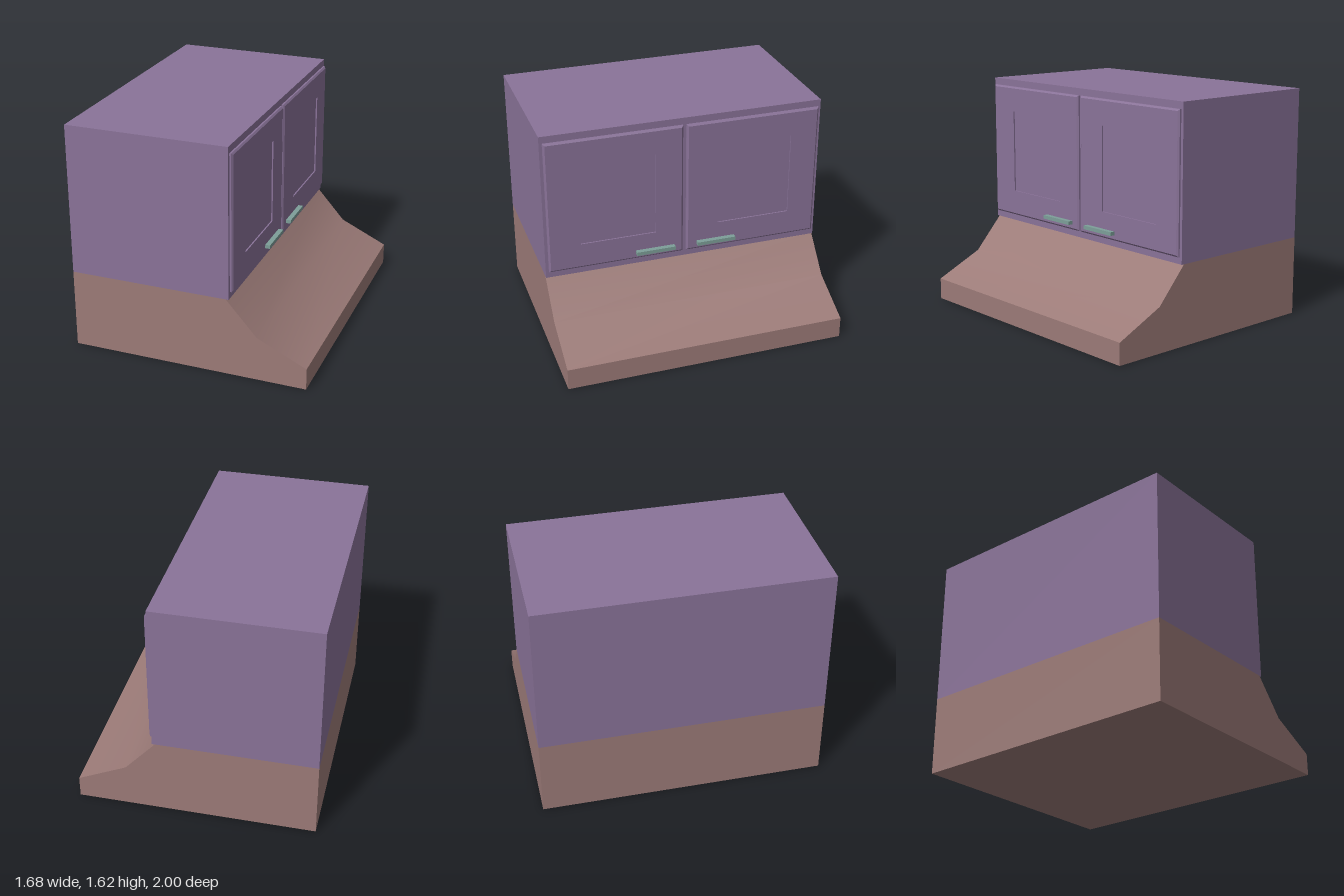
import * as THREE from 'three';
import { toCreasedNormals } from 'three/addons/utils/BufferGeometryUtils.js';

const purple = new THREE.MeshStandardMaterial({ color: 0x8a7399, flatShading: true });
const brown = new THREE.MeshStandardMaterial({ color: 0x9c7b78 });
const green = new THREE.MeshStandardMaterial({ color: 0x7d9f99, flatShading: true });

// Skins a stack of rectangles [u0, u1, v0, v1, w] and caps both ends; front faces +z.
function rectLoft(loops) {
  const pos = [], index = [];
  for (const [u0, u1, v0, v1, w] of loops) {
    pos.push(u0, v0, w, u1, v0, w, u1, v1, w, u0, v1, w);
  }
  for (let i = 0; i < loops.length - 1; i++) {
    for (let j = 0; j < 4; j++) {
      const a = i * 4 + j, b = i * 4 + (j + 1) % 4;
      index.push(a, b, b + 4, a, b + 4, a + 4);
    }
  }
  const e = (loops.length - 1) * 4;
  index.push(0, 2, 1, 0, 3, 2, e, e + 1, e + 2, e, e + 2, e + 3);
  const g = new THREE.BufferGeometry();
  g.setAttribute('position', new THREE.Float32BufferAttribute(pos, 3));
  g.setIndex(index);
  const flat = g.toNonIndexed();
  flat.computeVertexNormals();
  return flat;
}

function add(parent, name, geometry, material) {
  const mesh = new THREE.Mesh(geometry, material);
  mesh.name = name;
  parent.add(mesh);
  return mesh;
}

// Chamfered door with a shallow sunken panel; u runs towards -z
function doorGeometry() {
  const w = 0.4835, y0 = 0.608, y1 = 1.575, c = 0.012;
  const panel = [-0.254, 0.282, 0.793, 1.392];
  return rectLoft([
    [-w, w, y0, y1, 0],
    [-w, w, y0, y1, 0.012],
    [-w + c, w - c, y0 + c, y1 - c, 0.022],
    [...panel, 0.022],
    [...panel, 0.012],
  ]).rotateY(Math.PI / 2);
}

// Finger pull, hollow from below
function handleGeometry() {
  const u = 0.0185, v = 0.141, t = 0.006;
  return rectLoft([
    [-u, u, -v, v, 0],
    [-u, u, -v, v, 0.026],
    [-u + t, u - t, -v + t, v - t, 0.026],
    [-u + t, u - t, -v + t, v - t, 0.007],
  ]).rotateX(Math.PI / 2);
}

export function createModel() {
  const model = new THREE.Group();
  model.name = 'rangeHoodCabinet';

  // Flared hood, with the slope smoothed across its bend
  const profile = new THREE.Shape([
    [-0.84, 0], [0.84, 0], [0.84, 0.153], [0.494, 0.316], [0.277, 0.56], [-0.84, 0.56],
  ].map(([x, y]) => new THREE.Vector2(x, y)));
  const hood = new THREE.ExtrudeGeometry(profile, { depth: 2, bevelEnabled: false });
  hood.translate(0, 0, -1);
  add(model, 'hood', toCreasedNormals(hood, 0.6), brown);

  // Cabinet box
  const box = new THREE.BoxGeometry(1.138, 1.064, 2).translate(-0.271, 1.092, 0);
  add(model, 'cabinet', box, purple);

  // Pair of doors with their handles near the centre
  for (const [side, z, handleZ] of [['left', 0.495, 0.219], ['right', -0.497, -0.229]]) {
    const door = new THREE.Group();
    door.name = side === 'left' ? 'frontDoor' : 'backDoor';
    add(door, 'doorPanel', doorGeometry(), purple).position.set(0.298, 0, z);
    add(door, 'doorHandle', handleGeometry(), green).position.set(0.337, 0.674, handleZ);
    model.add(door);
  }
  return model;
}
